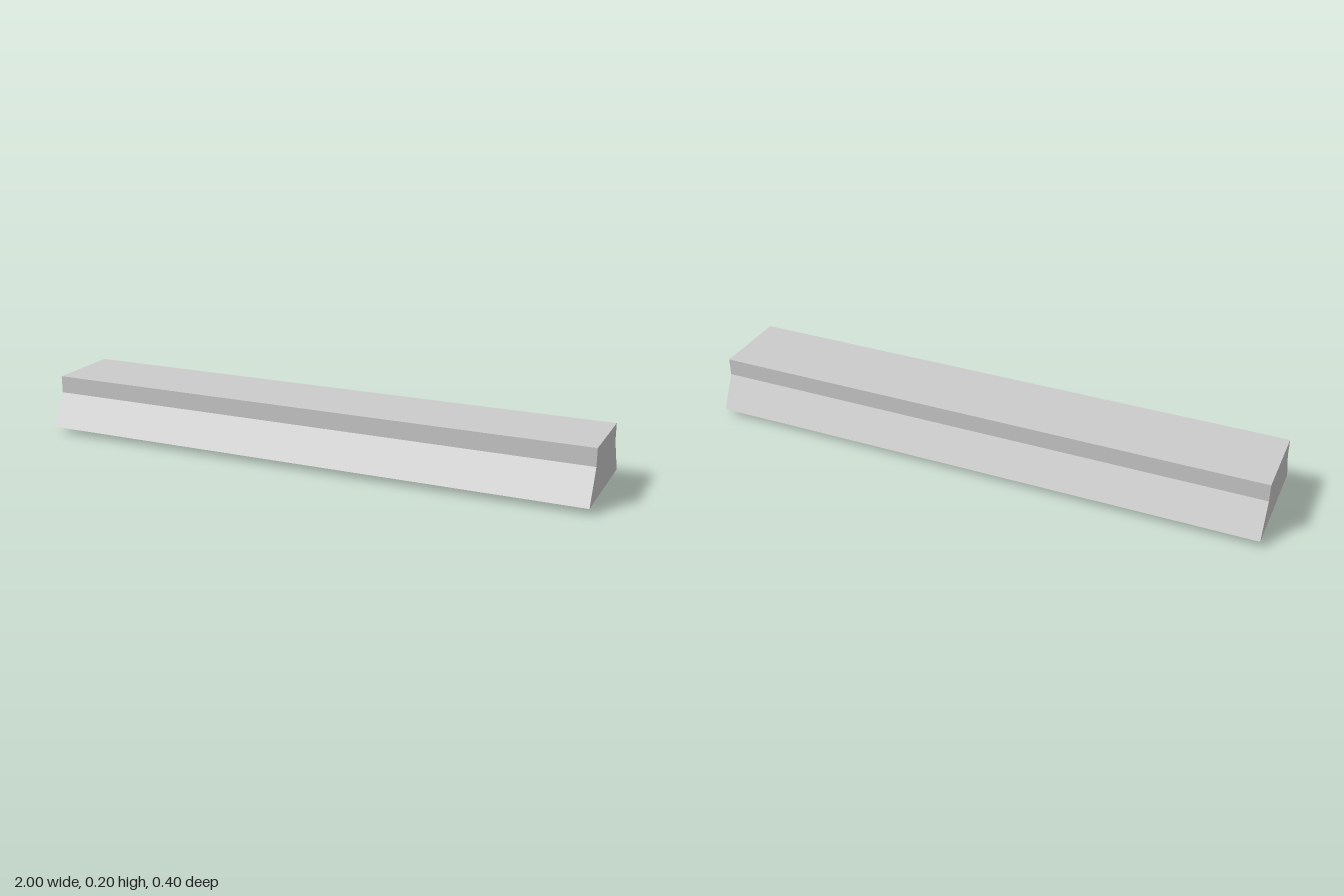
import * as THREE from 'three';
import { mergeVertices } from 'three/addons/utils/BufferGeometryUtils.js';

const grey = new THREE.MeshStandardMaterial({ color: 0xcccccc });
grey.name = 'light grey';

// Housing: a tapered cross-section with a straight upper part, run along x
function makeHousing() {
  const outline = [[-0.2, 0.022], [0.2, 0.022], [0.14, 0.14], [0.14, 0.202], [-0.14, 0.202], [-0.14, 0.14]];
  const shape = new THREE.Shape(outline.map(([x, y]) => new THREE.Vector2(x, y)));
  const geometry = new THREE.ExtrudeGeometry(shape, { depth: 2, bevelEnabled: false });
  geometry.translate(0, 0, -1).rotateY(Math.PI / 2);
  const mesh = new THREE.Mesh(geometry, grey);
  mesh.name = 'housing';
  return mesh;
}

// Lamp tube: a flattened four-sided bar, half sunk in the housing, softly shaded round its ends
function makeTube(z) {
  let geometry = new THREE.CylinderGeometry(1, 1, 1.8, 4);
  geometry.rotateZ(Math.PI / 2).scale(1, 0.022, 0.06);
  geometry.deleteAttribute('normal');
  geometry.deleteAttribute('uv');
  geometry = mergeVertices(geometry);
  geometry.computeVertexNormals();
  const { position, normal } = geometry.attributes;
  const n = new THREE.Vector3();
  for (let i = 0; i < position.count; i++) {
    n.set(position.getX(i) / 0.9 * 0.7, position.getY(i) / 0.022, position.getZ(i) / 0.06).normalize();
    normal.setXYZ(i, n.x, n.y, n.z);
  }
  const mesh = new THREE.Mesh(geometry, grey);
  mesh.position.set(0, 0.022, z);
  return mesh;
}

export function createModel() {
  const model = new THREE.Group();
  model.name = 'ceilingLight';
  model.add(makeHousing());
  for (const [name, z] of [['frontTube', 0.066], ['backTube', -0.066]]) {
    const tube = makeTube(z);
    tube.name = name;
    model.add(tube);
  }
  return model;
}
